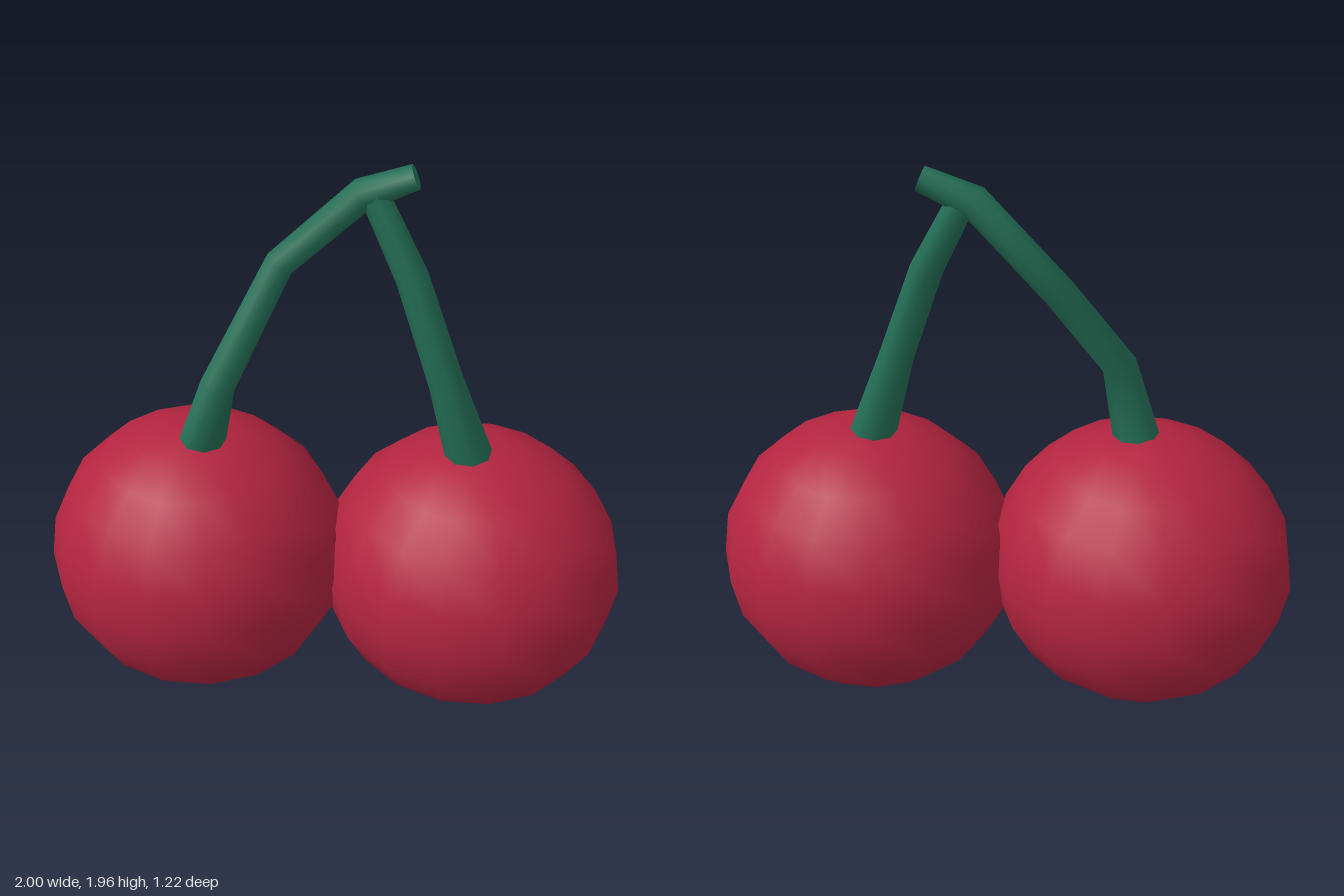
import * as THREE from 'three';

const cherryRed = new THREE.MeshStandardMaterial({ color: 0xb3243f });
cherryRed.name = 'cherry red';
const stemGreen = new THREE.MeshStandardMaterial({ color: 0x246f56 });
stemGreen.name = 'stem green';

const SIDES = 8;

// Tapered, mitred tube through points [x, y, z, radius], with flat end caps
function stemGeometry(path) {
  const pts = path.map(([x, y, z]) => new THREE.Vector3(x, y, z));
  const positions = [], index = [];
  const rings = pts.map((p, i) => {
    const before = pts[Math.max(i - 1, 0)], after = pts[Math.min(i + 1, pts.length - 1)];
    const inDir = p.clone().sub(before).normalize(), outDir = after.clone().sub(p).normalize();
    const t = inDir.add(outDir).normalize();
    const u = new THREE.Vector3(0, 0, 1).addScaledVector(t, -t.z).normalize();
    const v = t.clone().cross(u);
    return Array.from({ length: SIDES }, (_, k) => {
      const a = ((k + 0.5) / SIDES) * Math.PI * 2, r = path[i][3];
      return p.clone().addScaledVector(u, r * Math.cos(a)).addScaledVector(v, r * Math.sin(a));
    });
  });
  rings.forEach(ring => ring.forEach(q => positions.push(q.x, q.y, q.z)));
  for (let i = 0; i < rings.length - 1; i++) {
    for (let k = 0; k < SIDES; k++) {
      const a = i * SIDES + k, b = i * SIDES + (k + 1) % SIDES;
      index.push(a, b, b + SIDES, a, b + SIDES, a + SIDES);
    }
  }
  // Caps use their own vertices so their edges stay sharp
  [0, rings.length - 1].forEach(i => {
    const start = positions.length / 3;
    rings[i].forEach(q => positions.push(q.x, q.y, q.z));
    for (let k = 1; k < SIDES - 1; k++) {
      if (i === 0) index.push(start, start + k + 1, start + k);
      else index.push(start, start + k, start + k + 1);
    }
  });
  const geometry = new THREE.BufferGeometry();
  geometry.setAttribute('position', new THREE.Float32BufferAttribute(positions, 3));
  geometry.setIndex(index);
  geometry.computeVertexNormals();
  return geometry;
}

export function createModel() {
  const model = new THREE.Group();
  model.name = 'cherryPair';

  const add = (name, geometry, material) => {
    const mesh = new THREE.Mesh(geometry, material);
    mesh.name = name;
    model.add(mesh);
    return mesh;
  };

  // Fruits, slightly wider than tall
  const fruit = new THREE.SphereGeometry(1, 16, 10);
  [['rightCherry', -0.472, 0.54, 0.104], ['leftCherry', 0.468, 0.505, -0.11]].forEach(([name, x, y, z]) => {
    const cherry = add(name, fruit, cherryRed);
    cherry.position.set(x, y, z);
    cherry.scale.set(0.528, 0.502, 0.502);
  });

  // Long stem that carries on to the tip
  add('mainStem', stemGeometry([
    [-0.435, 0.99, 0.125, 0.08],
    [-0.35, 1.265, 0.152, 0.058],
    [-0.21, 1.607, -0.085, 0.052],
    [0.055, 1.868, -0.105, 0.052],
    [0.215, 1.932, -0.135, 0.04],
  ]), stemGreen);

  // Side stem that joins below the tip
  add('sideStem', stemGeometry([
    [0.445, 0.97, -0.092, 0.08],
    [0.355, 1.275, -0.062, 0.058],
    [0.225, 1.62, -0.085, 0.053],
    [0.095, 1.865, -0.108, 0.045],
  ]), stemGreen);

  return model;
}
